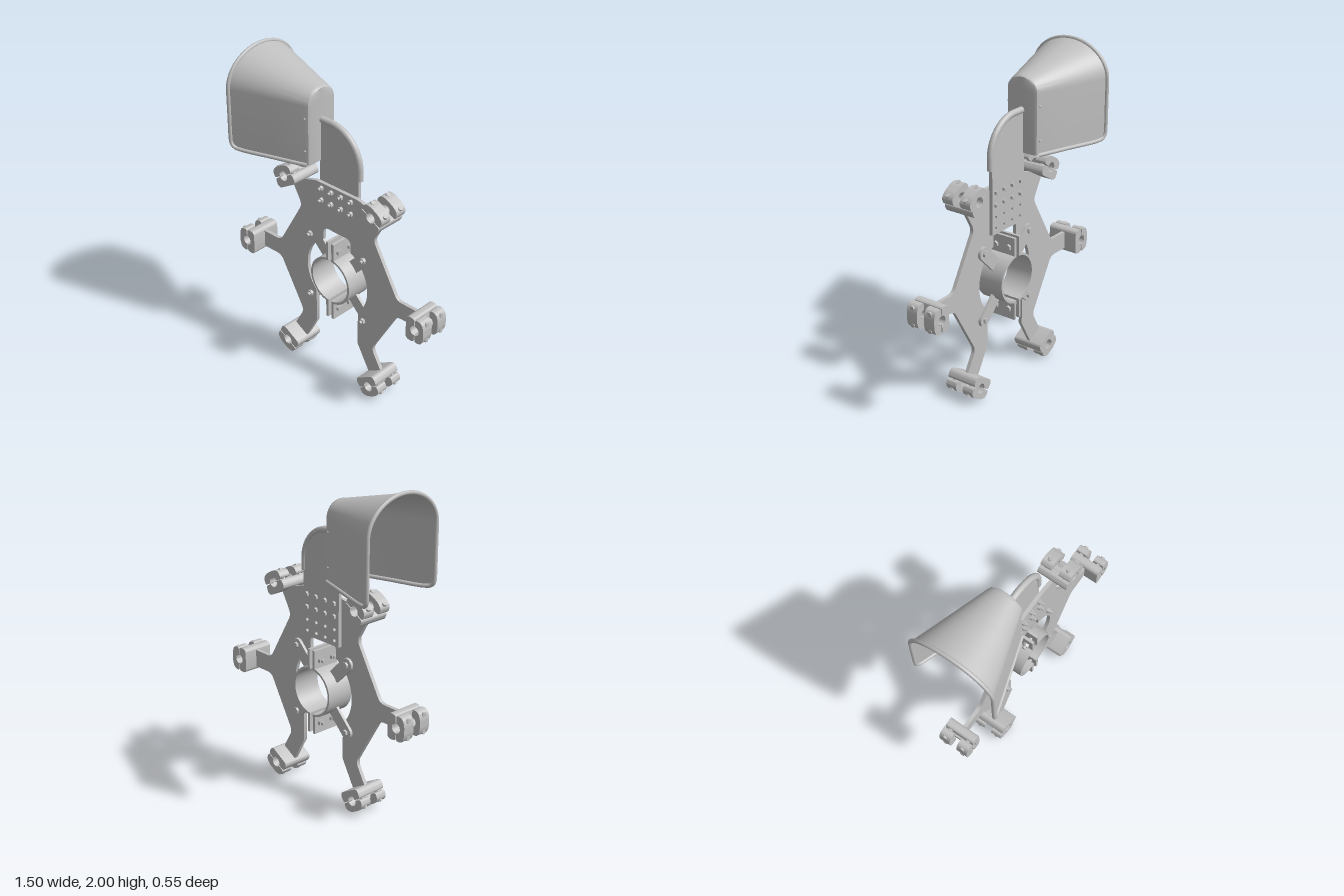
import * as THREE from 'three';
import { toCreasedNormals } from 'three/addons/utils/BufferGeometryUtils.js';

const CY = 0.68; // height of the hub centre

export function createModel() {
  const model = new THREE.Group();
  model.name = 'bracketWithHood';
  const steel = new THREE.MeshStandardMaterial({ color: 0xc0c0c0, side: THREE.DoubleSide });
  steel.name = 'light grey steel';

  const add = (geometry, name, parent = model) => {
    const mesh = new THREE.Mesh(geometry, steel);
    mesh.name = name;
    parent.add(mesh);
    return mesh;
  };

  // closed outline from [x, y, cornerRadius] points
  const outline = (pts) => {
    const shape = new THREE.Shape();
    pts.forEach(([x, y, r = 0], i) => {
      const here = new THREE.Vector2(x, y);
      const toward = (p) => {
        const d = new THREE.Vector2(p[0], p[1]).sub(here);
        return d.setLength(Math.min(r, d.length() / 2)).add(here);
      };
      const a = r ? toward(pts[(i + pts.length - 1) % pts.length]) : here;
      if (i) shape.lineTo(a.x, a.y); else shape.moveTo(a.x, a.y);
      if (r) {
        const b = toward(pts[(i + 1) % pts.length]);
        shape.quadraticCurveTo(x, y, b.x, b.y);
      }
    });
    shape.closePath();
    return shape;
  };
  const slab = (shape, z0, z1) => {
    const g = new THREE.ExtrudeGeometry(shape, { depth: z1 - z0, bevelEnabled: false, curveSegments: 10 });
    return toCreasedNormals(g.translate(0, 0, z0), 0.6);
  };
  const arc = (r, a0, a1, n, cx = 0, cy = 0) => Array.from({ length: n + 1 }, (_, i) => {
    const a = a0 + (a1 - a0) * i / n;
    return [cx + r * Math.cos(a), cy + r * Math.sin(a)];
  });

  // bolt along z: head at the back, nut and shank end at the front
  const makeBolt = (back, front, r, name, parent = model) => {
    const bolt = new THREE.Group();
    bolt.name = name;
    const rod = (radius, z0, z1, sides, part) => add(
      toCreasedNormals(new THREE.CylinderGeometry(radius, radius, z1 - z0, sides)
        .rotateX(Math.PI / 2).translate(0, 0, (z0 + z1) / 2), 0.7), part, bolt);
    rod(r * 0.55, back - 0.01, front + 0.034, 12, 'shank');
    rod(r, back - 0.015, back, 6, 'head');
    rod(r, front, front + 0.018, 6, 'nut');
    parent.add(bolt);
    return bolt;
  };

  // main plate: right half of the outline, mirrored
  const half = [
    [0.167, 1.278, 0.02], [0.265, 1.249], [0.36, 1.194], [0.286, 1.065, 0.035],
    [0.476, 0.735, 0.035], [0.625, 0.735], [0.625, 0.625], [0.476, 0.625, 0.035],
    [0.286, 0.295, 0.035], [0.36, 0.166], [0.265, 0.11], [0.172, 0.275],
    ...arc(0.245, -0.793, 1.105, 18, 0, CY), [0.11, 0.985, 0.04],
  ];
  const mirrored = half.map(([x, y, r]) => [-x, y, r]).reverse();
  add(slab(outline([...half, ...mirrored]), 0.01, 0.033), 'mainPlate');

  // split pipe clamps at the end of each arm
  const inner = outline([
    [0.682, 0.077, 0.015], [0.64, 0.08, 0.012], [0.622, 0.066, 0.01],
    [0.622, -0.066, 0.01], [0.64, -0.08, 0.012], [0.682, -0.077, 0.015],
    ...arc(0.031, -1.65, -4.63, 14, 0.686, 0),
  ]);
  const outer = outline([
    ...arc(0.031, -1.5, 1.5, 14, 0.686, 0),
    [0.69, 0.077, 0.012], [0.733, 0.075, 0.025], [0.75, 0.035, 0.02],
    [0.75, -0.035, 0.02], [0.733, -0.075, 0.025], [0.69, -0.077, 0.012],
  ]);
  for (let i = 0; i < 6; i++) {
    const clamp = new THREE.Group();
    clamp.name = 'pipeClamp';
    clamp.position.y = CY;
    clamp.rotation.z = i * Math.PI / 3;
    add(slab(inner, -0.075, 0.124), 'clampBase', clamp);
    for (const z of [-0.038, 0.087]) {
      add(slab(outer, z - 0.037, z + 0.037), 'clampCap', clamp);
      for (const v of [-0.052, 0.052]) {
        const head = add(new THREE.CylinderGeometry(0.015, 0.015, 0.07, 6).toNonIndexed(), 'clampBolt', clamp);
        head.geometry.computeVertexNormals();
        head.rotation.z = Math.PI / 2;
        head.position.set(0.714, v, z);
      }
    }
    model.add(clamp);
  }

  // central collar in two halves with bolted flanges
  for (const s of [1, -1]) {
    const a = Math.PI / 2 - 0.08;
    const halfRing = outline([...arc(0.156, -a, a, 28), ...arc(0.142, a, -a, 28)]
      .map(([x, y]) => [s * x, y + CY]));
    add(slab(halfRing, -0.085, 0.094), 'collarHalf');
    for (const e of [1, -1]) {
      const flange = add(new THREE.BoxGeometry(0.018, 0.125, 0.179), 'collarFlange');
      flange.position.set(s * 0.022, CY + e * 0.203, 0.0045);
    }
  }
  for (const y of [CY + 0.2, CY - 0.2]) for (const z of [-0.042, 0.052]) {
    const bolt = makeBolt(-0.031, 0.031, 0.02, 'flangeBolt');
    bolt.rotation.y = -Math.PI / 2;
    bolt.position.set(0, y, z);
  }

  // four diagonal tabs joining collar and plate
  for (let i = 0; i < 4; i++) {
    const tab = new THREE.Group();
    tab.name = 'collarTab';
    tab.position.y = CY;
    tab.rotation.z = Math.PI / 4 + i * Math.PI / 2;
    add(slab(outline([[0.146, -0.04], ...arc(0.04, -Math.PI / 2, Math.PI / 2, 12, 0.304, 0), [0.146, 0.04]]),
      -0.008, 0.01), 'tabStrip', tab);
    makeBolt(-0.008, 0.033, 0.019, 'tabBolt', tab).position.x = 0.304;
    model.add(tab);
  }

  // upright bracket plate with spare holes
  const bracket = outline([
    [-0.155, 0.985], [0.146, 0.985], ...arc(0.216, 0, Math.PI / 2, 16, -0.07, 1.45), [-0.155, 1.666],
  ]);
  const columns = [-0.119, -0.041, 0.036, 0.114];
  for (const x of columns) {
    for (const y of [1.088, 1.02]) {
      const hole = new THREE.Path();
      hole.absarc(x, y, 0.011, 0, Math.PI * 2, true);
      bracket.holes.push(hole);
    }
    for (const y of [1.246, 1.167]) makeBolt(-0.012, 0.033, 0.016, 'bracketBolt').position.set(x, y, 0);
  }
  add(slab(bracket, -0.012, 0.01), 'bracketPlate');

  // tubular edge over the bracket
  const edge = new THREE.CurvePath();
  const corner = arc(0.218, Math.PI / 2, 0, 16, -0.07, 1.45).map(([x, y]) => new THREE.Vector3(x, y, 0));
  const edgePts = [new THREE.Vector3(-0.145, 1.668, 0), ...corner, new THREE.Vector3(0.148, 1.385, 0)];
  for (let i = 1; i < edgePts.length; i++) edge.add(new THREE.LineCurve3(edgePts[i - 1], edgePts[i]));
  add(new THREE.TubeGeometry(edge, 60, 0.02, 14), 'edgeTube');
  for (const [x, y, turn] of [[-0.145, 1.668, -Math.PI / 2], [0.148, 1.385, Math.PI / 2]]) {
    const cap = add(new THREE.CircleGeometry(0.02, 14), 'edgeTubeEnd');
    if (turn < 0) cap.rotation.y = turn; else cap.rotation.x = turn;
    cap.position.set(x, y, 0);
  }

  // hood: arched sections lofted along x, closed at the narrow end
  const width = (x) => 0.261 - (x + 0.632) * 0.323;
  const top = (x) => 1.988 - (x + 0.632) * 0.25;
  const SPRING = 1.78, N = 28;
  const section = (x, hw, peak, bottom) => [
    [x, bottom, hw],
    ...Array.from({ length: N + 1 }, (_, i) => {
      const a = Math.PI * i / N;
      return [x, SPRING + (peak - SPRING) * Math.sin(a), hw * Math.cos(a)];
    }),
    [x, bottom, -hw],
  ];
  const rows = [[-0.632, 1.47], [-0.626, 1.438], [-0.612, 1.42], [-0.58, 1.41], [-0.37, 1.41], [-0.168, 1.41]]
    .map(([x, b]) => section(x, width(x), top(x), b));
  rows.push(section(-0.152, 0.104, 1.869, 1.41), section(-0.145, 0.088, 1.863, 1.41), section(-0.145, 0, 1.863, 1.41));
  const M = N + 3, index = [];
  for (let r = 0; r < rows.length - 1; r++) for (let j = 0; j < M - 1; j++) {
    const a = r * M + j, b = a + M;
    index.push(a, b, a + 1, b, b + 1, a + 1);
  }
  const hood = new THREE.BufferGeometry();
  hood.setAttribute('position', new THREE.Float32BufferAttribute(rows.flat(2), 3));
  hood.setIndex(index);
  add(toCreasedNormals(hood, 0.7), 'hoodShell');

  // rolled rim along the mouth and both lower edges
  const side = [[-0.16, 1.41], [-0.37, 1.41], [-0.57, 1.41], [-0.61, 1.418], [-0.629, 1.44], [-0.633, 1.48], [-0.633, 1.62]]
    .map(([x, y]) => [x, y, width(x)]);
  const arch = section(-0.633, width(-0.633), top(-0.633), 1.41).slice(1, -1);
  const rim = [...side, ...arch, ...side.map(([x, y, z]) => [x, y, -z]).reverse()];
  const rimCurve = new THREE.CatmullRomCurve3(rim.map((p) => new THREE.Vector3(...p)));
  add(new THREE.TubeGeometry(rimCurve, 160, 0.012, 10), 'hoodRim');

  // rivets on the hood sides
  for (const s of [1, -1]) for (const y of [1.7, 1.495]) {
    add(new THREE.SphereGeometry(0.007, 10, 8), 'hoodRivet').position.set(-0.172, y, s * width(-0.172));
  }
  return model;
}
